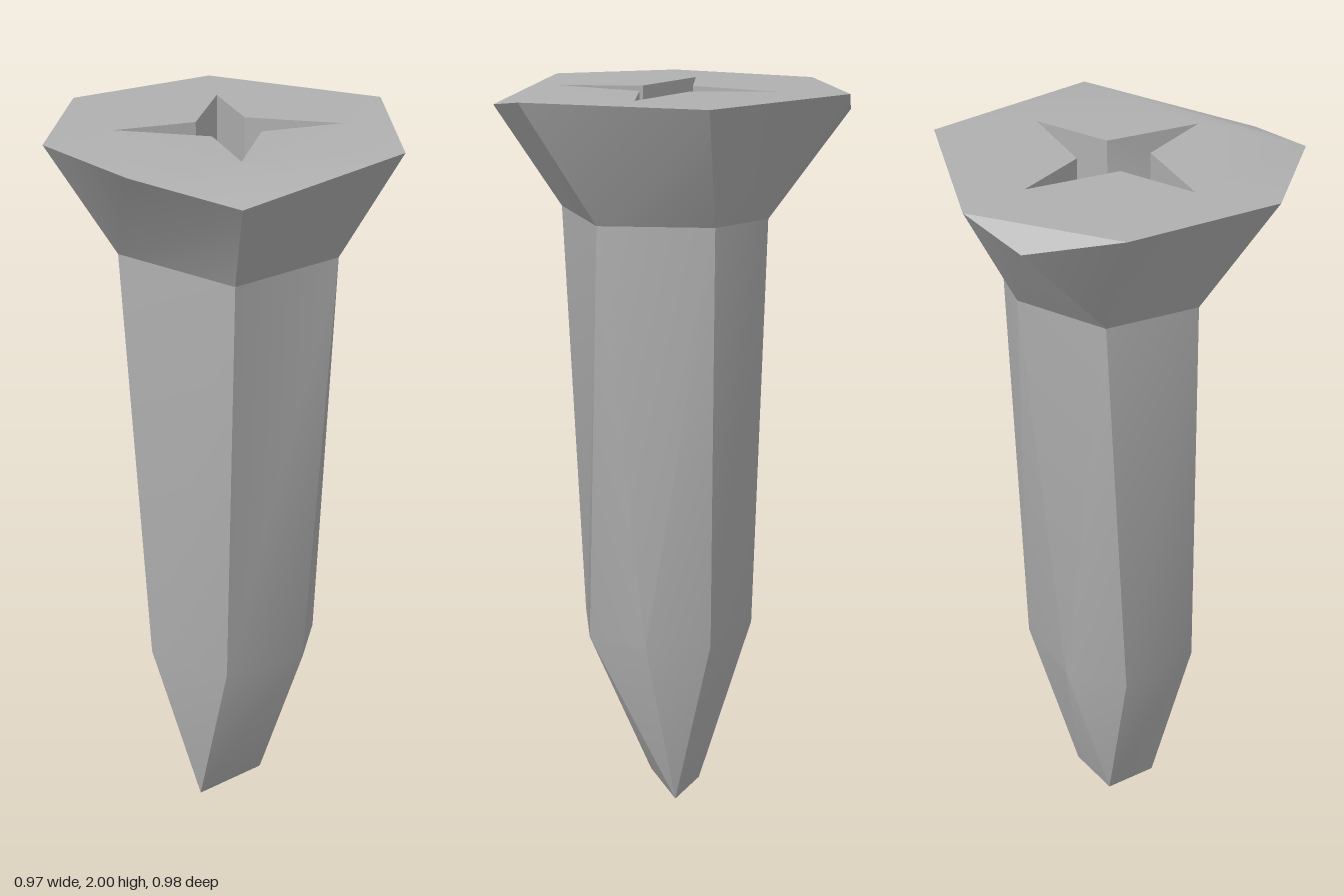
import * as THREE from 'three';
import { toCreasedNormals } from 'three/addons/utils/BufferGeometryUtils.js';

const metal = new THREE.MeshStandardMaterial({ color: 0xb0b0b0 });
metal.name = 'grey metal';

const TOP = 2, LIP = 1.94, NECK = 1.67, TAPER = 0.5, FLOOR = 1.85, PIT = 1.7;

// [x, z] outline lifted to a height
const ring = (points, y) => points.map(([x, z]) => [x, y, z]);

// Side walls between two rings of equal length; repeated points collapse
function loft(low, high, inward = false) {
  const tris = [];
  low.forEach((a, i) => {
    const j = (i + 1) % low.length;
    tris.push([a, low[j], high[j]], [a, high[j], high[i]]);
  });
  return inward ? tris.map(([a, b, c]) => [a, c, b]) : tris;
}

// Flat upward-facing polygon, optionally with a hole
function plate(outline, y, hole) {
  const toV = ps => ps.map(([x, z]) => new THREE.Vector2(x, -z));
  const shape = new THREE.Shape(toV(outline));
  if (hole) shape.holes.push(new THREE.Path(toV(hole).reverse()));
  const g = new THREE.ShapeGeometry(shape);
  const p = g.attributes.position, idx = g.index.array, tris = [];
  const at = k => [p.getX(k), y, -p.getY(k)];
  for (let i = 0; i < idx.length; i += 3) tris.push([at(idx[i]), at(idx[i + 1]), at(idx[i + 2])]);
  return tris;
}

function part(name, tris) {
  const same = (a, b) => a.every((v, i) => Math.abs(v - b[i]) < 1e-6);
  const solid = tris.filter(([a, b, c]) => !same(a, b) && !same(b, c) && !same(a, c));
  const g = new THREE.BufferGeometry();
  g.setAttribute('position', new THREE.Float32BufferAttribute(solid.flat(2), 3));
  const mesh = new THREE.Mesh(toCreasedNormals(g, Math.PI / 6), metal);
  mesh.name = name;
  return mesh;
}

export function createModel() {
  const group = new THREE.Group();
  group.name = 'screw';

  // Shank: irregular hexagon below the head, seven corners at the taper, three at the tip
  const neck = ring([[-0.06, 0.295], [0.265, 0.16], [0.265, 0.16], [0.265, -0.15],
    [0.11, -0.28], [-0.165, -0.265], [-0.285, -0.03]], NECK);
  const taper = ring([[-0.065, 0.24], [0.17, 0.2], [0.255, 0.035], [0.215, -0.14],
    [0, -0.24], [-0.176, -0.19], [-0.23, 0.05]], TAPER);
  const [tf, tr, tb] = ring([[-0.09, 0.055], [0.12, -0.035], [-0.04, -0.09]], 0);
  const tip = [tf, tr, tr, tr, tb, tb, tf];
  group.add(part('shank', [...loft(taper, neck), ...loft(tip, taper), [tf, tb, tr]]));

  // Head: flared sides, with the front and back corners of the rim bent down
  const rim = [[-0.1, 0.487], [0.37, 0.345], [0.485, -0.15], [0.1, -0.49],
    [-0.08, -0.49], [-0.315, -0.378], [-0.488, 0.02], [-0.35, 0.345]];
  const r = ring(rim, TOP);
  r[0][1] = r[4][1] = LIP;
  const [n0, n1, , n3, n4, n5, n6] = neck;
  const collar = [n0, n1, n3, n4, n5, n5, n6, n6];

  // Four-pointed star cut into the head
  const star = [[-0.045, 0.297], [0.08, 0.065], [0.305, 0.055], [0.075, -0.07],
    [0.065, -0.295], [-0.06, -0.065], [-0.285, -0.055], [-0.055, 0.07]];
  const flatRim = rim.filter((p, i) => i !== 0 && i !== 4);
  group.add(part('head', [...loft(collar, r), ...plate(flatRim, TOP, star),
    [r[0], r[1], r[7]], [r[3], r[4], r[5]]]));

  // Recess: walls, central floor, and a sunken ramp in each side arm
  const recess = [...loft(ring(star, FLOOR), ring(star, TOP), true),
    ...plate(star.filter((p, i) => i !== 2 && i !== 6), FLOOR)];
  for (const i of [1, 5]) {
    const [near, point, far] = ring(star.slice(i, i + 3), FLOOR);
    const mid = point.map((v, k) => (v + far[k]) / 2);
    const deep = [mid[0], PIT, mid[2]];
    recess.push([near, point, mid], [near, deep, far], [near, mid, deep], [far, deep, mid]);
  }
  group.add(part('driveRecess', recess));

  return group;
}
